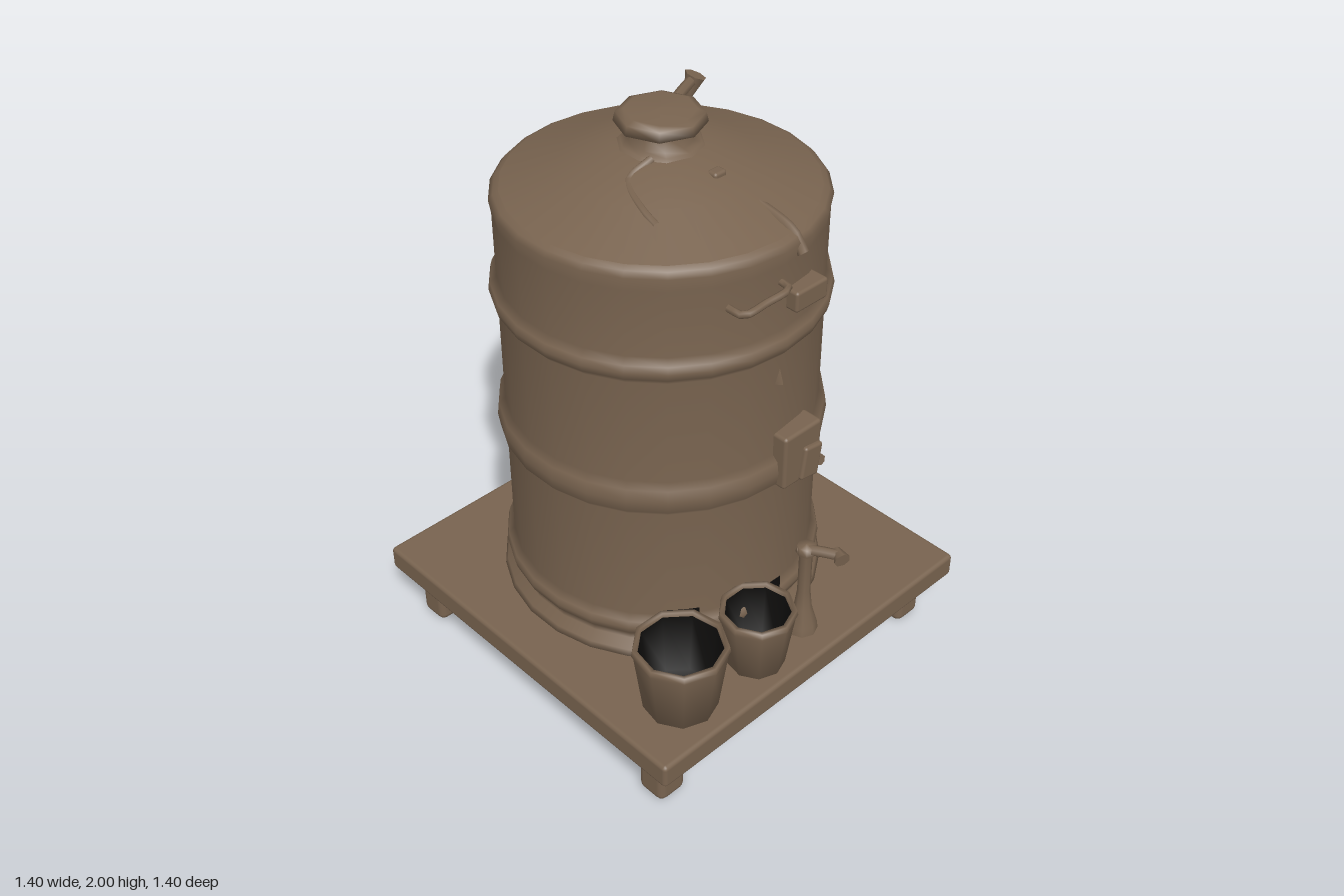
import * as THREE from 'three';
import { RoundedBoxGeometry } from 'three/addons/geometries/RoundedBoxGeometry.js';

export function createModel() {
  const model = new THREE.Group();
  const brown = new THREE.MeshStandardMaterial({ color: 0x78634f, side: THREE.DoubleSide });
  brown.name = 'weathered brown';
  const black = new THREE.MeshStandardMaterial({ color: 0x0e0d0c, side: THREE.DoubleSide });
  black.name = 'dark hollow';
  const axisZ = -0.045; // tank centre line

  const add = (name, geometry, x = 0, y = 0, z = 0, material = brown) => {
    const mesh = new THREE.Mesh(geometry, material);
    mesh.name = name;
    mesh.position.set(x, y, z);
    model.add(mesh);
    return mesh;
  };
  const box = (name, w, h, d, x, y, z, r = 0.01) =>
    add(name, new RoundedBoxGeometry(w, h, d, 2, r), x, y, z);
  const lathe = (points, sides) =>
    new THREE.LatheGeometry(points.map(([r, y]) => new THREE.Vector2(r, y)), sides);
  const pipe = (name, points, radius) => add(name, new THREE.TubeGeometry(
    new THREE.CatmullRomCurve3(points.map(p => new THREE.Vector3(...p))), 12, radius, 7));

  // Stand
  box('platform', 1.4, 0.09, 1.4, 0, 0.235, 0, 0.015);
  for (const x of [-0.585, 0.585]) for (const z of [-0.57, 0.565])
    box('leg', 0.11, 0.21, 0.11, x, 0.105, z, 0.025);

  // Tank with three hoops and a conical roof
  const wall = [[0, 0.275], [0.555, 0.275], [0.545, 0.3], [0.517, 0.33]];
  for (const y of [0.395, 0.935, 1.42]) {
    const h = y === 0.935 ? 0.042 : 0.024;
    wall.push([0.514, y - h - 0.025], [0.535, y - h], [0.541, y], [0.535, y + h], [0.514, y + h + 0.02]);
  }
  wall.push([0.515, 1.69], [0.522, 1.735], [0.508, 1.752], [0.49, 1.762]);
  add('tank', lathe(wall, 26), 0, 0, axisZ);
  add('roof', lathe([[0.49, 1.762], [0.3, 1.832], [0.15, 1.885], [0, 1.895]], 26), 0, 0, axisZ);

  // Filler neck and lid
  add('neck', lathe([[0.15, 1.87], [0.125, 1.895], [0.1, 1.9], [0.095, 1.95]], 10), 0, 0, axisZ);
  add('lid', lathe([[0, 1.93], [0.09, 1.93], [0.142, 1.955], [0.135, 1.985], [0.11, 1.995], [0, 2]], 8),
    0, 0, axisZ);

  // Pipes on the roof
  pipe('ventPipe', [[0.07, 1.915, -0.1], [0.18, 1.925, -0.16], [0.3, 1.925, -0.215]], 0.018);
  const horn = add('ventHorn', new THREE.CylinderGeometry(0.042, 0.012, 0.085, 7), 0.293, 1.9, -0.215);
  horn.scale.set(0.75, 1, 0.9);
  horn.rotation.x = 0.15;
  horn.rotation.z = Math.PI * 0.9 + Math.PI;
  pipe('roofPipe', [[0.04, 1.84, 0.16], [0.06, 1.8, 0.28], [0.07, 1.755, 0.43], [0.07, 1.7, 0.475]], 0.018);
  box('roofPipeBracket', 0.05, 0.05, 0.04, 0.02, 1.845, 0.17);
  pipe('roofCable', [[-0.1, 1.89, 0.02], [-0.19, 1.855, 0.02], [-0.24, 1.825, 0.13], [-0.25, 1.805, 0.2]], 0.014);

  // Fittings on the front wall
  pipe('handle', [[-0.2, 1.62, 0.44], [-0.195, 1.62, 0.495], [-0.11, 1.627, 0.505], [-0.02, 1.635, 0.505],
    [-0.01, 1.635, 0.455]], 0.012);
  box('namePlate', 0.135, 0.07, 0.09, 0.083, 1.565, 0.465);
  box('valveBox', 0.165, 0.2, 0.08, 0.07, 0.98, 0.48, 0.012);
  const lever = box('valveLever', 0.08, 0.12, 0.03, 0.1, 0.945, 0.52);
  lever.rotation.z = -0.15;
  const ledge = add('smallLedge', new THREE.ConeGeometry(0.05, 0.1, 3), 0, 1.32, 0.455);
  ledge.scale.z = 0.6;
  add('boltHead', new THREE.CylinderGeometry(0.02, 0.025, 0.05, 7), 0.335, 0.72, 0.35).rotation.x = 1.4;

  // Dark worn patches around the tank foot: [start angle, sweep, bottom, height]
  for (const [a, sweep, y, h] of [[-0.74, 0.2, 0.29, 0.2], [-0.1, 0.13, 0.29, 0.2],
    [1.56, 0.3, 0.325, 0.035], [2.06, 0.36, 0.355, 0.04]])
    add('wornPatch', new THREE.CylinderGeometry(0.544, 0.544, h, 6, 1, true, a, sweep), 0, y + h / 2, axisZ, black);

  // Buckets, open at the top with a dark hollow
  for (const [x, z, top, bottom, h] of [[-0.465, 0.525, 0.158, 0.122, 0.26], [-0.16, 0.565, 0.13, 0.095, 0.235]]) {
    add('bucket', lathe([[0, 0], [bottom, 0], [top - 0.007, h - 0.035], [top, h - 0.02], [top - 0.004, h],
      [top - 0.018, h], [top - 0.02, h - 0.02]], 9), x, 0.275, z);
    add('bucketHollow', lathe([[top - 0.02, h - 0.015], [bottom - 0.01, 0.03], [0, 0.03]], 9), x, 0.275, z, black);
  }

  // Hand pump
  add('pumpPost', lathe([[0.055, 0.275], [0.05, 0.31], [0.03, 0.38], [0.022, 0.45], [0.022, 0.6],
    [0.035, 0.62], [0.03, 0.645], [0, 0.65]], 8), 0.055, 0, 0.57);
  pipe('pumpSpout', [[0.04, 0.625, 0.55], [0.07, 0.635, 0.61], [0.1, 0.64, 0.675]], 0.018);
  const tip = add('pumpMouth', new THREE.CylinderGeometry(0.012, 0.028, 0.05, 7), 0.1, 0.64, 0.67);
  tip.rotation.set(-1.4, 0, -0.4);
  return model;
}
